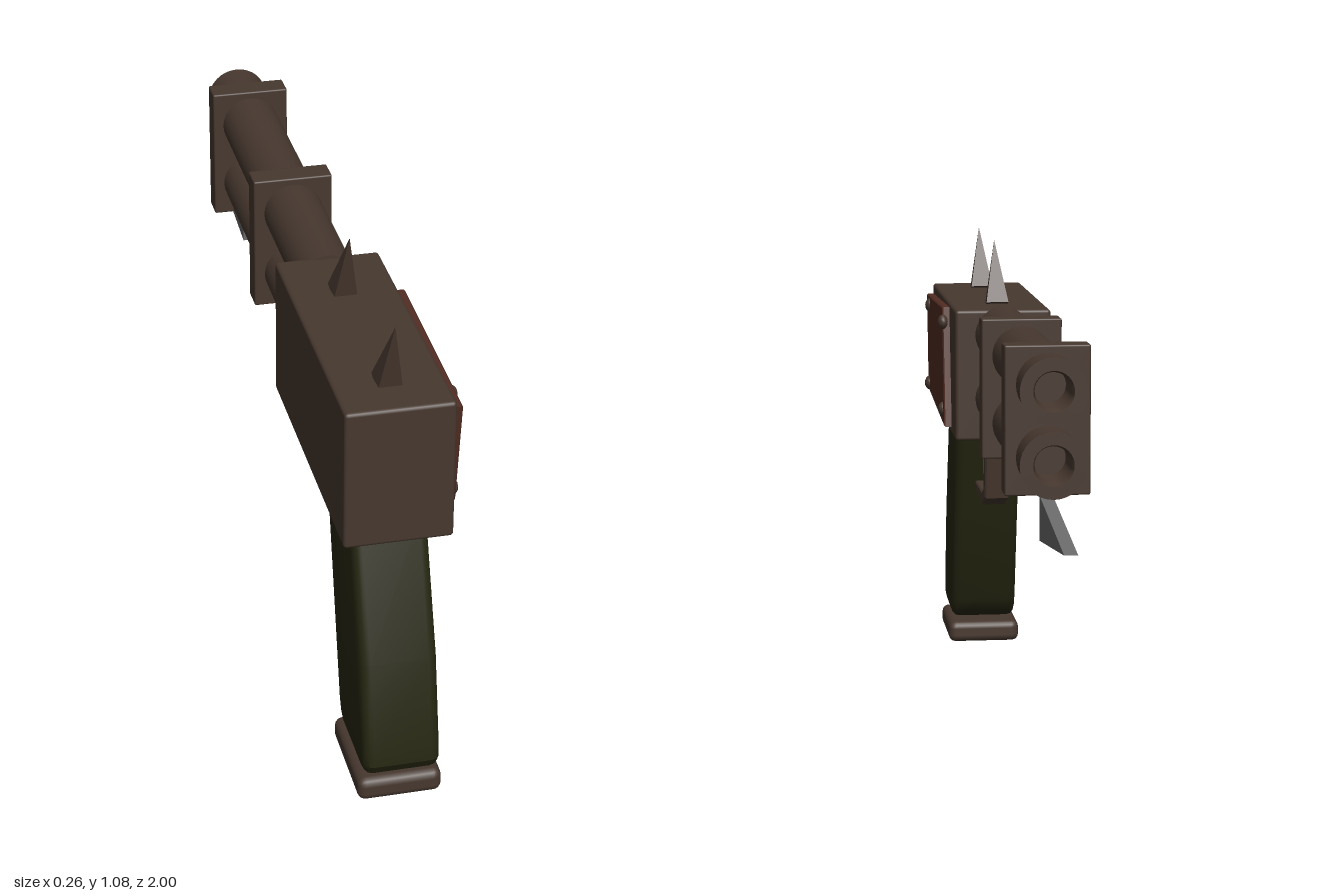
import * as THREE from 'three';
import { toCreasedNormals } from 'three/addons/utils/BufferGeometryUtils.js';
import { RoundedBoxGeometry } from 'three/addons/geometries/RoundedBoxGeometry.js';

const CX = -0.016; // centre line of the gun

function material(name, color) {
  const m = new THREE.MeshStandardMaterial({ color });
  m.name = name;
  return m;
}

export function createModel() {
  const group = new THREE.Group();
  const brown = material('brown metal', 0x47382f);
  const rust = material('rusty plate', 0x522d23);
  const olive = material('olive grip', 0x262611);
  const steel = material('grey steel', 0x6c6c6c);

  const add = (name, geometry, mat) => {
    const mesh = new THREE.Mesh(geometry, mat);
    mesh.name = name;
    group.add(mesh);
    return mesh;
  };

  // Side outline given as [z, y] points, extruded across x
  const sideProfile = (points, width, centre = CX, bevel = 0, segments = 1) => {
    const shape = new THREE.Shape(points.map(([z, y]) => new THREE.Vector2(-z, y)));
    const geo = new THREE.ExtrudeGeometry(shape, {
      depth: width - 2 * bevel,
      bevelEnabled: bevel > 0,
      bevelThickness: bevel,
      bevelSize: bevel,
      bevelOffset: -bevel,
      bevelSegments: segments,
    });
    geo.translate(0, 0, -width / 2 + bevel);
    geo.rotateY(Math.PI / 2);
    geo.translate(centre, 0, 0);
    return geo;
  };

  // Box given by its centre and size
  const box = (name, size, position, radius, mat) =>
    add(name, new RoundedBoxGeometry(...size, 2, radius), mat).position.set(...position);

  // Receiver
  box('receiver', [0.23, 0.316, 0.66], [CX, 0.767, 0.6], 0.008, brown);

  // Two hollow barrels with a slightly flared muzzle
  const length = 1.005;
  const barrelProfile = [
    [0, 0], [0.067, 0], [0.067, length - 0.05], [0.071, length],
    [0.043, length], [0.038, length - 0.02], [0.038, length - 0.3], [0, length - 0.3],
  ].map(([r, y]) => new THREE.Vector2(r, y));
  const barrel = toCreasedNormals(new THREE.LatheGeometry(barrelProfile, 32), 0.6);
  barrel.rotateX(-Math.PI / 2);
  [['upperBarrel', 0.866], ['lowerBarrel', 0.712]].forEach(([name, y]) =>
    add(name, barrel, brown).position.set(CX, y, 0.283));

  // Clamps around both barrels
  for (const z of [-0.1, -0.585]) {
    box('barrelClamp', [0.182, 0.318, 0.06], [CX, 0.79, z], 0.004, brown);
  }

  // Bayonet
  add('bayonet', sideProfile([[-0.59, 0.53], [-0.59, 0.627], [-1, 0.58]], 0.028), steel);

  // Crooked plate and rivets on the left flank
  add('sidePlate', sideProfile(
    [[0.907, 0.9], [0.87, 0.655], [0.382, 0.627], [0.436, 0.916]], 0.022, 0.106, 0.003), rust);
  const rivet = new THREE.SphereGeometry(0.018, 12, 8);
  rivet.scale(0.7, 1, 1);
  for (const [z, y] of [[0.82, 0.88], [0.43, 0.88], [0.845, 0.674], [0.43, 0.665]]) {
    add('rivet', rivet, brown).position.set(0.116, y, z);
  }

  // Leaning four-sided spikes
  const spike = new THREE.ConeGeometry(0.038, 0.165, 4, 1, false, Math.PI / 4).toNonIndexed();
  spike.computeVertexNormals();
  spike.translate(0, 0.0825, 0);
  spike.rotateX(0.35);
  for (const z of [0.813, 0.425]) {
    add('spike', spike, brown).position.set(CX, 0.921, z);
  }

  // Grip and its base cap
  const grip = sideProfile([
    [0.85, 0.615], [0.955, 0.33], [0.997, 0.13], [1, 0.1], [0.985, 0.075], [0.955, 0.067],
    [0.79, 0.063], [0.765, 0.08], [0.748, 0.115], [0.687, 0.35], [0.62, 0.615],
  ], 0.164, CX, 0.02, 3);
  add('grip', toCreasedNormals(grip, 0.6), olive);
  box('gripCap', [0.182, 0.054, 0.24], [CX, 0.027, 0.865], 0.018, brown);

  // Trigger guard: a bent strip following the outer and inner outlines
  add('triggerGuard', sideProfile([
    [0.63, 0.606], [0.43, 0.606], [0.404, 0.55], [0.423, 0.44], [0.495, 0.412], [0.69, 0.417],
    [0.69, 0.444], [0.505, 0.444], [0.457, 0.462], [0.437, 0.543], [0.452, 0.578], [0.63, 0.578],
  ], 0.06, CX, 0.004), brown);

  // Trigger
  add('trigger', sideProfile([
    [0.635, 0.615], [0.628, 0.565], [0.606, 0.515], [0.602, 0.47], [0.57, 0.497],
    [0.578, 0.55], [0.59, 0.615],
  ], 0.034, CX, 0.003), steel);

  return group;
}
